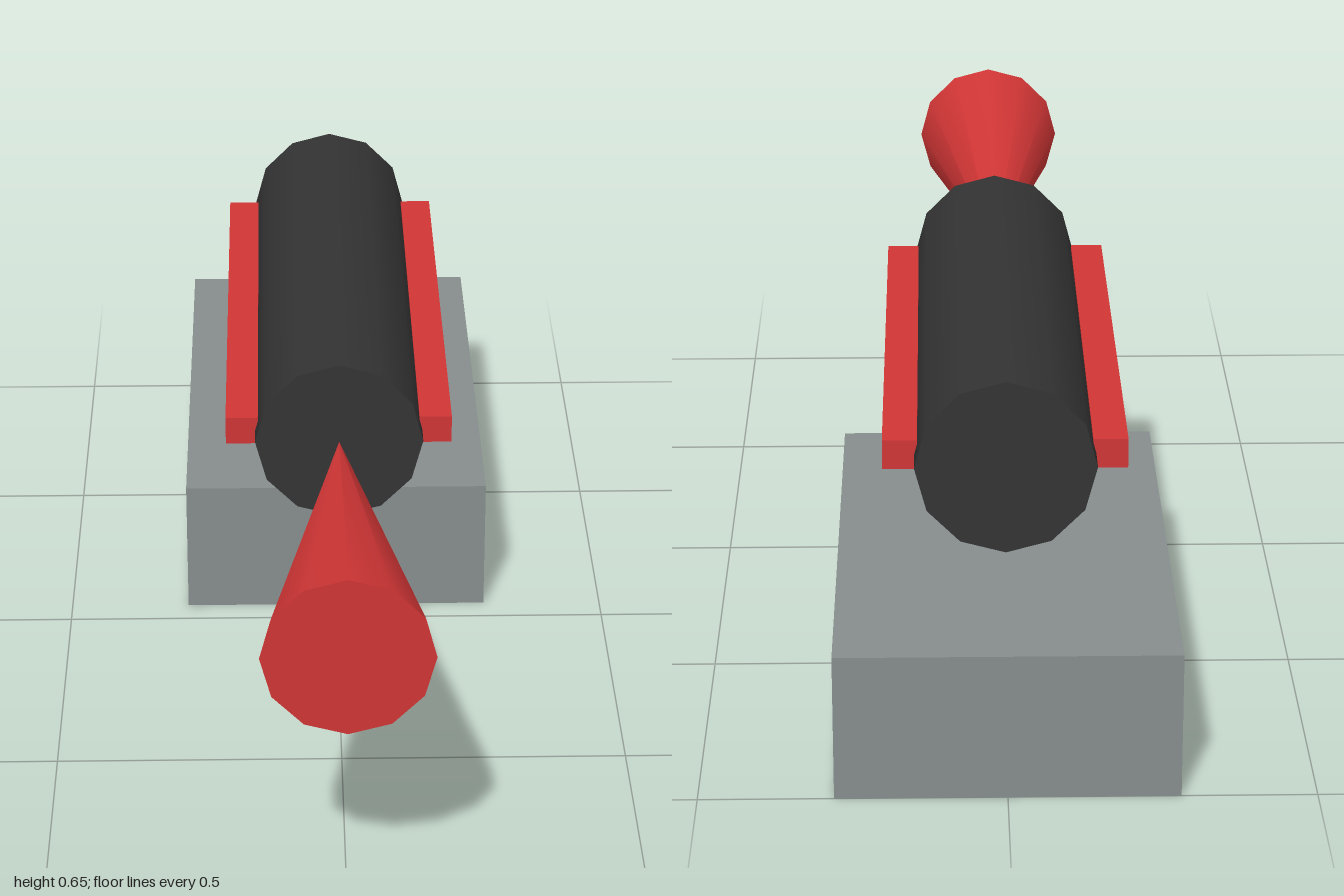
import * as THREE from 'three';

export function createModel() {
  const model = new THREE.Group();
  const material = (name, color) => {
    const m = new THREE.MeshStandardMaterial({ color });
    m.name = name;
    return m;
  };
  const red = material('red', 0xd03535);
  const black = material('charcoal', 0x333333);
  const grey = material('grey', 0x868c8d);

  const add = (name, geometry, mat, x, y, z) => {
    const mesh = new THREE.Mesh(geometry, mat);
    mesh.name = name;
    mesh.position.set(x, y, z);
    model.add(mesh);
  };

  // Block standing on the ground at the rear
  add('baseBlock', new THREE.BoxGeometry(0.56, 0.25, 0.95), grey, 0, 0.125, -0.525);

  // Twelve-sided barrel lying along z
  const barrel = new THREE.CylinderGeometry(0.148, 0.148, 1.075, 12).rotateX(Math.PI / 2);
  add('barrel', barrel, black, 0, 0.5, -0.285);

  // Cone with its tip touching the barrel and its base facing forward
  const cone = new THREE.ConeGeometry(0.14, 0.747, 12).rotateX(-Math.PI / 2);
  add('frontCone', cone, red, 0, 0.5, 0.6265);

  // Rails along both sides of the barrel
  for (const [name, side] of [['leftRail', 1], ['rightRail', -1]]) {
    add(name, new THREE.BoxGeometry(0.057, 0.05, 0.97), red, side * 0.1715, 0.5, -0.278);
  }

  return model;
}
